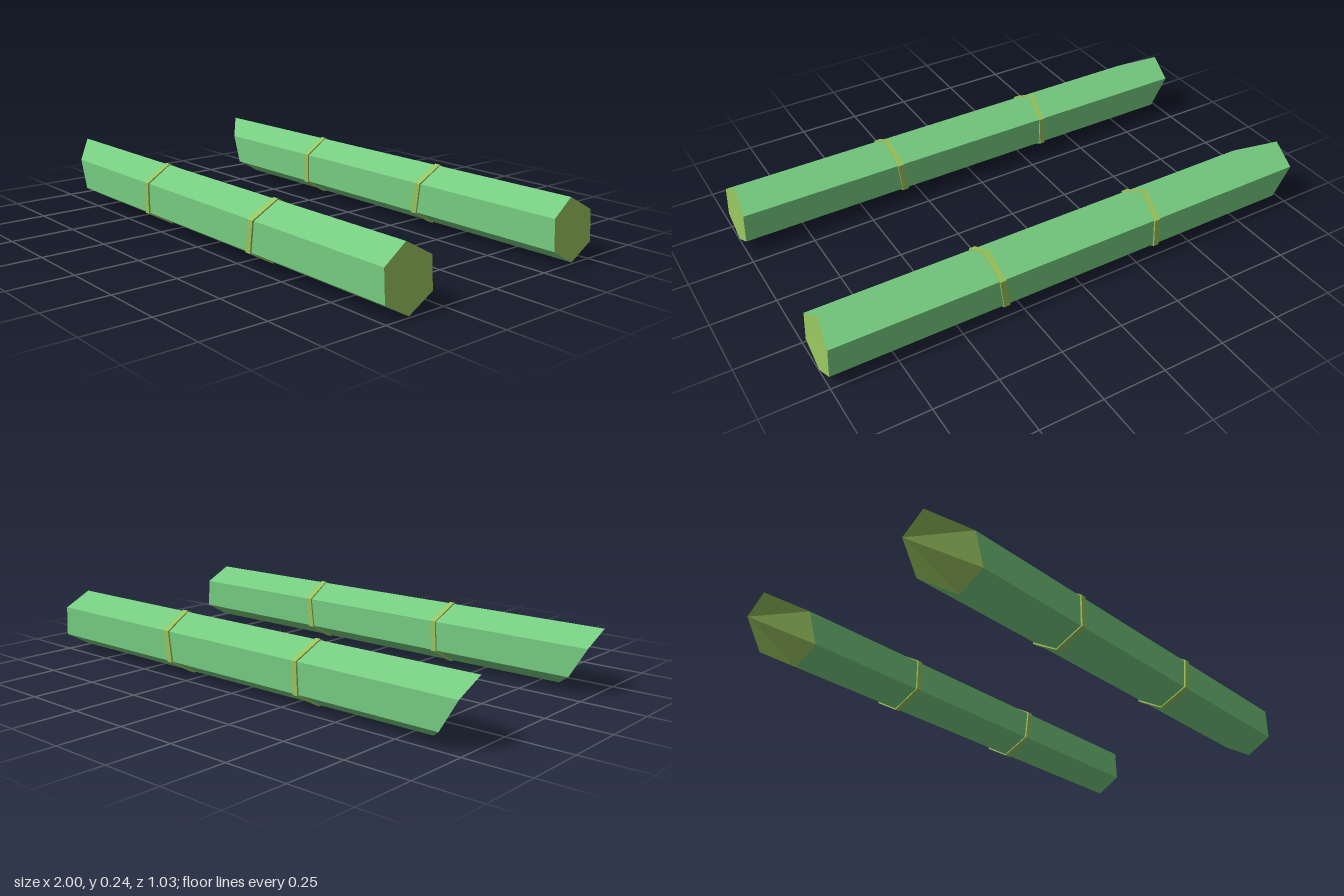
import * as THREE from 'three';

// Hexagonal section, one x per corner: top, front upper, front lower, bottom, back lower, back upper
function hexLoop(xs, ry, rz) {
  return xs.map((x, k) => {
    const a = (k * Math.PI) / 3;
    return [x, ry * Math.cos(a), rz * Math.sin(a) / Math.sin(Math.PI / 3)];
  });
}

function toGeometry(triangles) {
  const g = new THREE.BufferGeometry();
  g.setAttribute('position', new THREE.Float32BufferAttribute(triangles.flat(), 3));
  g.computeVertexNormals();
  return g;
}

// Skin between consecutive loops
function loft(loops) {
  const tris = [];
  for (let i = 0; i < loops.length - 1; i++) {
    const a = loops[i], b = loops[i + 1];
    for (let k = 0; k < 6; k++) {
      const n = (k + 1) % 6;
      tris.push(a[k], a[n], b[k], a[n], b[n], b[k]);
    }
  }
  return toGeometry(tris);
}

// Flat end; pass a reversed loop to face -x
function cap(loop) {
  const tris = [];
  for (let k = 1; k < 5; k++) tris.push(loop[0], loop[k], loop[k + 1]);
  return toGeometry(tris);
}

export function createModel() {
  const model = new THREE.Group();
  const stalkMat = new THREE.MeshStandardMaterial({ color: 0x76cc80, flatShading: true });
  const paleMat = new THREE.MeshStandardMaterial({ color: 0x98c45e, flatShading: true });

  const cutEnd = hexLoop([-1, -0.87, -0.83, -0.83, -0.92, -0.99], 0.117, 0.102);
  const squareEnd = hexLoop([0.98, 0.993, 1, 1, 1, 0.993], 0.117, 0.102);

  // Raised band with side walls, slightly skewed around the stalk
  const ring = (xs, width) => {
    const left = xs.map((x) => x - width / 2), right = xs.map((x) => x + width / 2);
    return loft([
      hexLoop(left, 0.115, 0.1), hexLoop(left, 0.122, 0.109),
      hexLoop(right, 0.122, 0.109), hexLoop(right, 0.115, 0.1),
    ]);
  };

  const parts = [
    ['stalk', loft([cutEnd, squareEnd]), stalkMat],
    ['slantedCutEnd', cap([...cutEnd].reverse()), paleMat],
    ['squareCutEnd', cap(squareEnd), paleMat],
    ['leftNodeRing', ring([0.35, 0.347, 0.331, 0.32, 0.328, 0.343], 0.025), paleMat],
    ['rightNodeRing', ring([-0.337, -0.326, -0.325, -0.334, -0.328, -0.322], 0.022), paleMat],
  ];

  // Two identical stalks side by side
  for (const [name, z] of [['frontBamboo', 0.404], ['backBamboo', -0.404]]) {
    const bamboo = new THREE.Group();
    bamboo.name = name;
    bamboo.position.set(0, 0.123, z);
    for (const [partName, geometry, material] of parts) {
      const mesh = new THREE.Mesh(geometry, material);
      mesh.name = partName;
      bamboo.add(mesh);
    }
    model.add(bamboo);
  }
  return model;
}
